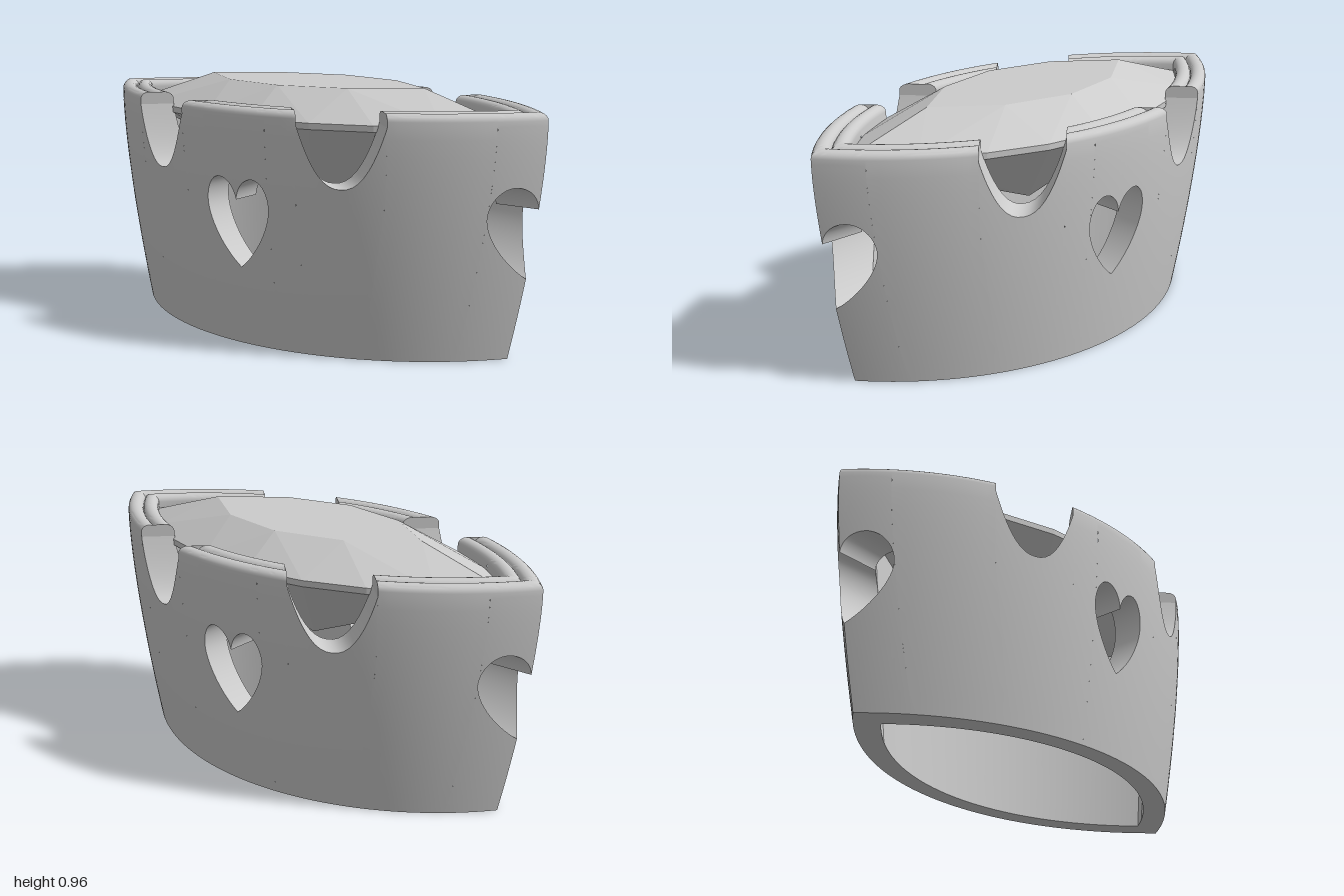
import * as THREE from 'three';
import { toCreasedNormals } from 'three/addons/utils/BufferGeometryUtils.js';
import { ConvexGeometry } from 'three/addons/geometries/ConvexGeometry.js';

const { lerp } = THREE.MathUtils;
const SHOULDER = 0.885, BEAD = 0.027;      // height where the rim beads start, bead height
const HEART = 0.14, NOTCH = 0.148;         // half widths of the cut-outs

// Pointed-oval outline made of circular arcs; t = 0 is the outer wall, t = 1 the inner wall
function outline(t, y) {
  const f = Math.pow(Math.max(0, 1 - y / 0.85), 1.5), g = Math.min(1, y / 0.85);
  const W = lerp(0.5 - 0.093 * f, 0.33 + 0.05 * g, t);
  const L = lerp(1 - 0.13 * f, 0.74 + 0.1 * g, t);
  const R = (L * L + W * W) / (2 * W);
  return { L, R, d: R - W };
}

// Columns: each gives z on an outline, where a cutting plane meets it
const planeX = (a) => ({ R, d }) => Math.sqrt(Math.max(0, R * R - (a + d) ** 2));
const planeZ = (b) => () => b;
const planeDiagonal = (c) => ({ R, d }, y) => {
  const m = d - c * Math.SQRT2 * Math.min(1, 0.6 + 0.4 * y / 0.6);
  return (-m + Math.sqrt(2 * R * R - m * m)) / 2;
};
const between = (p, q, s) => (o, y) => lerp(p(o, y), q(o, y), s);

// Edges of the cut-outs
const heartLow = (q) => 0.31 + 0.11 * q + 0.13 * (1 - Math.sqrt(Math.max(0, 1 - q * q)));
const heartHigh = (q) => {
  const e = (q - 0.54) / (q > 0.54 ? 0.46 : 0.55);
  return 0.55 + 0.1 * Math.sqrt(Math.max(0, 1 - e * e));
};
const notchEdge = (s) => 0.64 + 0.225 * Math.pow(Math.abs(s), 2.3);

// Closed wall section for one column; high = null ends in the double-beaded rim
function ring({ plane, low, high }) {
  const steps = 14, top = high ?? SHOULDER, section = [];
  for (let i = 0; i <= steps; i++) section.push([0, lerp(low, top, i / steps)]);
  if (high === null) {
    for (let i = 1; i < 20; i++) {
      const a = Math.PI * (i <= 10 ? i : i - 10) / 10;
      section.push([(i <= 10 ? 0.25 : 0.75) - 0.25 * Math.cos(a), SHOULDER + BEAD * Math.sin(a)]);
    }
  }
  for (let i = steps; i >= 0; i--) section.push([1, lerp(low, top, i / steps)]);
  return section.map(([t, y]) => {
    const o = outline(t, y);
    const z = THREE.MathUtils.clamp(plane(o, y), 0, o.L);
    return [Math.max(0, Math.sqrt(Math.max(0, o.R * o.R - z * z)) - o.d), y, z];
  });
}

// Skins a row of columns, with optional flat end caps
function panel(tris, columns, capStart, capEnd) {
  const rings = columns.map(ring), n = rings[0].length;
  const quad = (a, b, c, d) => tris.push([a, b, c], [a, c, d]);
  for (let k = 0; k + 1 < rings.length; k++) {
    for (let j = 0; j < n; j++) {
      const i = (j + 1) % n;
      quad(rings[k][j], rings[k + 1][j], rings[k + 1][i], rings[k][i]);
    }
  }
  const cap = (r, flip) => {
    for (let i = 0; i + 1 < n / 2; i++) {
      const [a, b, c, d] = [r[i], r[n - 1 - i], r[n - 2 - i], r[i + 1]];
      if (flip) quad(b, a, d, c); else quad(a, b, c, d);
    }
  };
  if (capStart) cap(rings[0], true);
  if (capEnd) cap(rings[rings.length - 1], false);
}

function bezelGeometry() {
  const tris = [], N = 20;
  const row = (fn, n = N) => Array.from({ length: n + 1 }, (_, i) => fn(i / n));
  const ease = (s) => (1 - Math.cos(Math.PI * s)) / 2;

  // Heart at the pointed end
  panel(tris, row((s) => ({ plane: planeX(HEART * ease(s)), low: 0, high: heartLow(ease(s)) })));
  panel(tris, row((s) => ({ plane: planeX(HEART * ease(s)), low: heartHigh(ease(s)), high: null })));
  // Solid wall between end heart and notch
  panel(tris, row((s) => ({
    plane: between(planeX(HEART), planeDiagonal(NOTCH), s), low: 0, high: null }), 10), false, true);
  // Wall under the notch
  panel(tris, row((s) => ({
    plane: planeDiagonal(NOTCH * Math.cos(Math.PI * s)), low: 0, high: notchEdge(Math.cos(Math.PI * s)) }), 24));
  // Solid wall between notch and side heart
  panel(tris, row((s) => ({
    plane: between(planeDiagonal(-NOTCH), planeZ(HEART), s), low: 0, high: null }), 8), true, false);
  // Heart in the broad side
  panel(tris, row((s) => ({ plane: planeZ(HEART * ease(1 - s)), low: 0, high: heartLow(ease(1 - s)) })));
  panel(tris, row((s) => ({ plane: planeZ(HEART * ease(1 - s)), low: heartHigh(ease(1 - s)), high: null })));

  // Mirror the quarter to all four
  const positions = [];
  for (const sx of [1, -1]) for (const sz of [1, -1]) {
    for (const [a, b, c] of tris) {
      for (const p of sx * sz > 0 ? [a, b, c] : [a, c, b]) positions.push(p[0] * sx, p[1], p[2] * sz);
    }
  }
  const geometry = new THREE.BufferGeometry();
  geometry.setAttribute('position', new THREE.Float32BufferAttribute(positions, 3));
  return toCreasedNormals(geometry, 0.55);
}

// Faceted pointed-oval stone: table, girdle band and culet
function gemGeometry() {
  const points = [new THREE.Vector3(0, 0.5, 0)];
  const addRing = (W, L, y, n) => {
    const R = (L * L + W * W) / (2 * W), half = Math.asin(L / R);
    for (const side of [1, -1]) for (let i = 0; i < n; i++) {
      const a = lerp(-half, half, i / n);
      points.push(new THREE.Vector3(side * (R * Math.cos(a) - R + W), y, side * R * Math.sin(a)));
    }
  };
  addRing(0.23, 0.5, 0.965, 4);
  addRing(0.388, 0.848, 0.855, 8);
  addRing(0.388, 0.848, 0.832, 8);
  return new ConvexGeometry(points);
}

export function createModel() {
  const group = new THREE.Group();
  group.name = 'gemSetting';
  const add = (name, geometry, flatShading) => {
    const mesh = new THREE.Mesh(geometry, new THREE.MeshStandardMaterial({ color: 0xcccccc, flatShading }));
    mesh.name = name;
    group.add(mesh);
  };
  add('bezelWall', bezelGeometry(), false);
  add('gemstone', gemGeometry(), true);
  return group;
}
